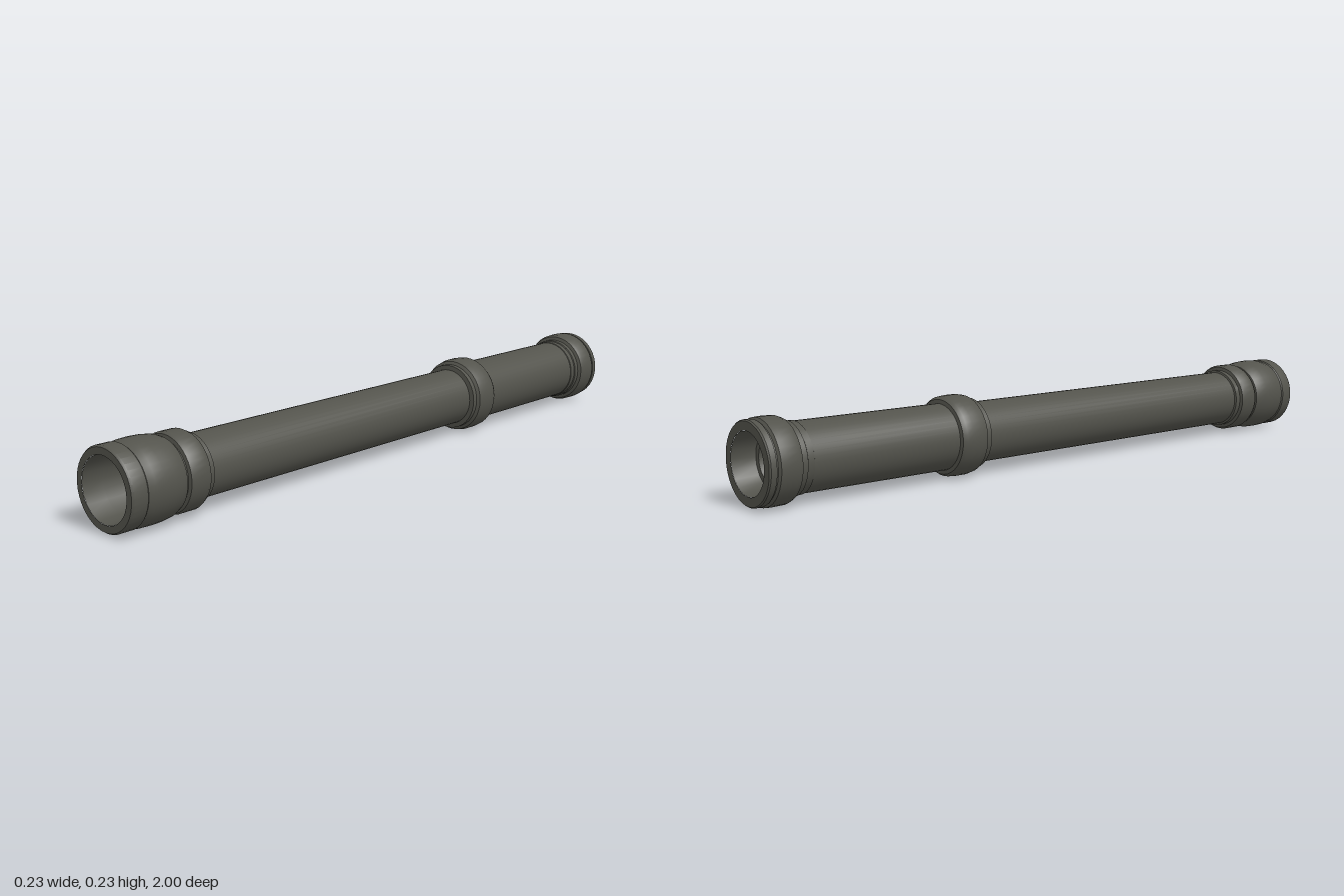
import * as THREE from 'three';
import { toCreasedNormals } from 'three/addons/utils/BufferGeometryUtils.js';

const AXIS_Y = 0.113;

export function createModel() {
  const group = new THREE.Group();
  const darkMetal = new THREE.MeshStandardMaterial({ color: 0x53534c });
  darkMetal.name = 'darkMetal';

  // Turned part along z; profile is [radius, z] with the outer side running towards +z
  const turn = (name, profile, sides = 40) => {
    const points = profile.map(([r, z]) => new THREE.Vector2(r, z));
    const geometry = new THREE.LatheGeometry(points, sides).rotateX(Math.PI / 2);
    const mesh = new THREE.Mesh(toCreasedNormals(geometry, 0.6), darkMetal);
    mesh.name = name;
    mesh.position.y = AXIS_Y;
    group.add(mesh);
  };

  // Long front barrel and the slightly wider rear tube
  turn('frontBarrel', [[0.085, -0.34], [0.085, 0.76]]);
  turn('rearTube', [[0.092, -0.89], [0.092, -0.38]]);

  // Rounded joint ring with narrow lips
  turn('middleRing', [
    [0.09, -0.418], [0.103, -0.416], [0.11, -0.405], [0.112, -0.385], [0.112, -0.355],
    [0.108, -0.335], [0.099, -0.329], [0.099, -0.314], [0.084, -0.312],
  ]);

  // Ring behind the front collar
  turn('frontRing', [
    [0.084, 0.73], [0.091, 0.732], [0.091, 0.75], [0.101, 0.752], [0.106, 0.762],
    [0.106, 0.806], [0.102, 0.815], [0.092, 0.817], [0.092, 0.83],
  ]);

  // Front collar, with its rim
  turn('frontCollar', [
    [0.092, 0.824], [0.1, 0.826], [0.107, 0.842], [0.111, 0.87], [0.112, 0.9],
    [0.111, 0.93], [0.107, 0.945], [0.107, 0.95], [0.11, 0.954], [0.11, 0.994],
    [0.106, 1], [0.087, 1],
  ]);

  // Tapering front bore and its floor
  turn('frontBore', [[0.087, 1], [0.084, 0.94], [0.07, 0.75], [0.057, 0.55]], 20);
  turn('frontLens', [[0.057, 0.55], [0, 0.55]], 20);

  // Rear cap, with a stepped neck
  turn('rearCap', [
    [0.082, -1], [0.106, -1], [0.109, -0.996], [0.109, -0.98], [0.105, -0.978],
    [0.105, -0.975], [0.112, -0.97], [0.113, -0.955], [0.112, -0.92], [0.107, -0.908],
    [0.097, -0.904], [0.097, -0.888], [0.094, -0.886], [0.094, -0.868], [0.091, -0.866],
  ]);

  // Stepped recess with the eyepiece lens
  turn('rearBore', [
    [0.057, -0.9], [0.06, -0.935], [0.074, -0.935], [0.082, -1],
  ], 20);
  turn('rearLens', [[0, -0.9], [0.057, -0.9]], 20);

  return group;
}
